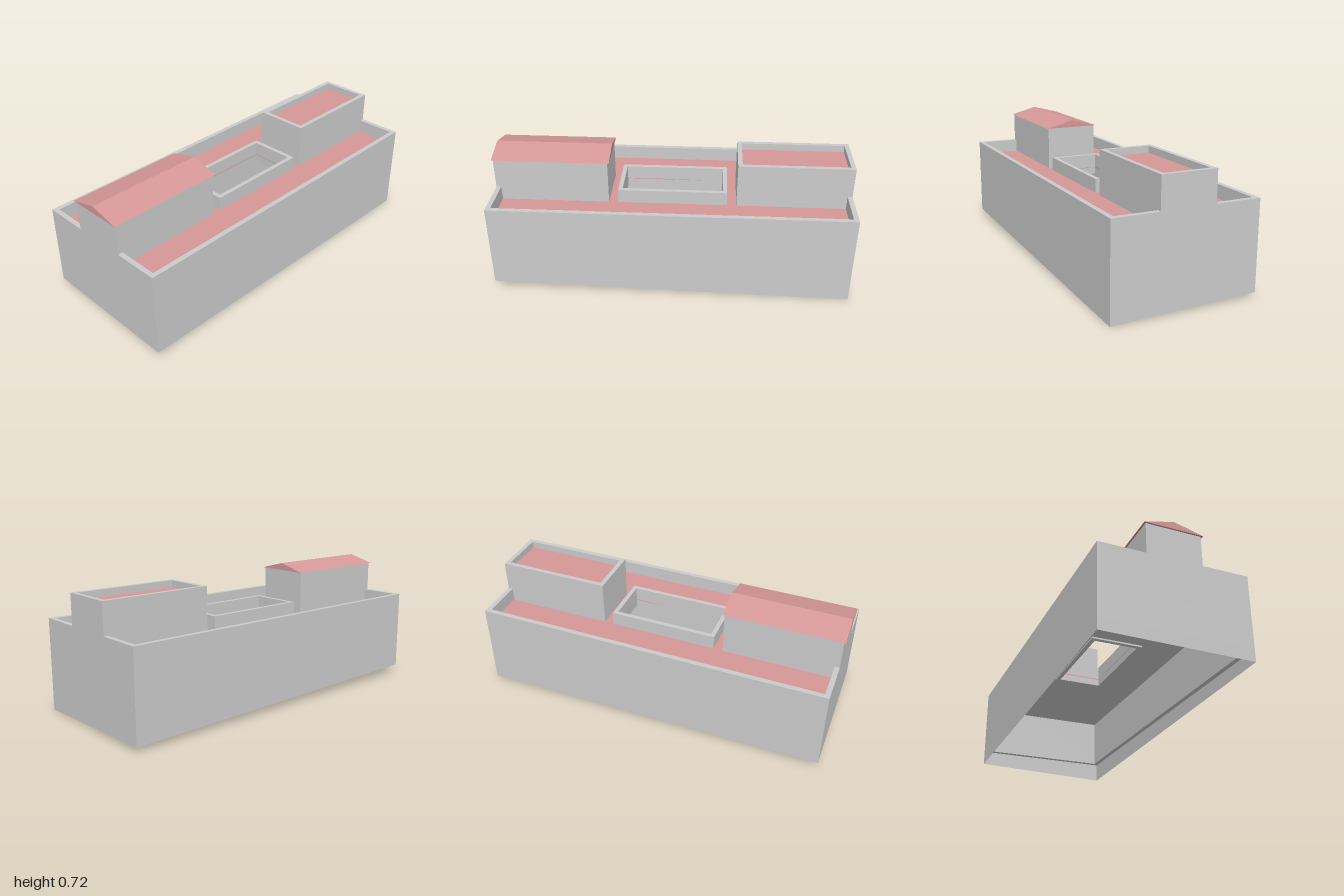
import * as THREE from 'three';

const GREY = new THREE.MeshStandardMaterial({ color: 0xcccccc, flatShading: true });
const THIN = new THREE.MeshStandardMaterial({ color: 0xcccccc, flatShading: true, side: THREE.DoubleSide });
const RED = new THREE.MeshStandardMaterial({ color: 0xd69898, flatShading: true });

// Plan half-sizes and main levels
const HX = 0.99, HZ = 0.403, WALL = 0.027;
const BASE = 0.11, CEILING = 0.4, DECK = 0.435, TOP = 0.512, TOWER_TOP = 0.683;
const TOWER = { x0: 0.357, x1: HX, hz: 0.151 };
const COURT = { hx: 0.304, hz: 0.15 };

function rectPath(PathType, x0, x1, hz) {
  const path = new PathType();
  path.moveTo(x0, -hz);
  path.lineTo(x1, -hz);
  path.lineTo(x1, hz);
  path.lineTo(x0, hz);
  path.closePath();
  return path;
}

// Rectangle in plan, optionally with a rectangular hole, raised from y0 to y1
function slab(name, outer, hole, y0, y1, material) {
  const shape = rectPath(THREE.Shape, ...outer);
  if (hole) shape.holes.push(rectPath(THREE.Path, ...hole));
  const geometry = new THREE.ExtrudeGeometry(shape, { depth: y1 - y0, bevelEnabled: false });
  geometry.rotateX(-Math.PI / 2).translate(0, y0, 0);
  const mesh = new THREE.Mesh(geometry, material);
  mesh.name = name;
  return mesh;
}

// Rectangular ring of walls of constant thickness
function ring(name, x0, x1, hz, t, y0, y1) {
  return slab(name, [x0, x1, hz], [x0 + t, x1 - t, hz - t], y0, y1, GREY);
}

// Thin skirt from the wall base down to the sloping ground
function skirt() {
  const corners = [[-HX, HZ, 0.042], [HX, HZ, 0], [HX, -HZ, 0.026], [-HX, -HZ, 0.052]];
  const points = [], index = [];
  corners.forEach(([x, z, y], i) => {
    points.push(x, y, z, x, BASE, z);
    const a = i * 2, b = ((i + 1) % 4) * 2;
    index.push(a, b, b + 1, a, b + 1, a + 1);
  });
  const geometry = new THREE.BufferGeometry();
  geometry.setAttribute('position', new THREE.Float32BufferAttribute(points, 3));
  geometry.setIndex(index);
  geometry.computeVertexNormals();
  const mesh = new THREE.Mesh(geometry, THIN);
  mesh.name = 'foundationSkirt';
  return mesh;
}

// Gabled roof prism along x
function gableRoof(x0, x1, hz, eave, ridge) {
  const shape = new THREE.Shape();
  shape.moveTo(-hz, eave);
  shape.lineTo(hz, eave);
  shape.lineTo(0, ridge);
  shape.closePath();
  const geometry = new THREE.ExtrudeGeometry(shape, { depth: x1 - x0, bevelEnabled: false });
  geometry.rotateY(Math.PI / 2).translate(x0, 0, 0);
  const mesh = new THREE.Mesh(geometry, RED);
  mesh.name = 'gableRoof';
  return mesh;
}

export function createModel() {
  const model = new THREE.Group();
  model.name = 'building';
  const plan = new THREE.Group();
  plan.name = 'buildingParts';
  plan.rotation.y = -0.0115; // the plan sits slightly askew
  model.add(plan);

  // Main block: walls, skirt, ceiling and roof deck round the courtyard
  const inner = [-HX + WALL, HX - WALL, HZ - WALL];
  const opening = [-COURT.hx + 0.024, COURT.hx - 0.024, COURT.hz - 0.024];
  plan.add(
    ring('mainWalls', -HX, HX, HZ, WALL, BASE, TOP),
    skirt(),
    slab('ceiling', inner, opening, CEILING, DECK - 0.005, GREY),
    slab('roofDeck', inner, opening, DECK - 0.005, DECK, RED),
    ring('courtyardCurb', -COURT.hx, COURT.hx, COURT.hz, 0.024, CEILING - 0.01, TOP)
  );

  // Flat-roofed upper block on the left
  const { x0, x1, hz } = TOWER;
  plan.add(
    ring('flatBlockWalls', x0, x1, hz, 0.025, DECK - 0.005, TOWER_TOP),
    slab('flatBlockDeck', [x0 + 0.025, x1 - 0.025, hz - 0.025], null, 0.635, 0.645, RED)
  );

  // Gabled upper block on the right
  plan.add(
    slab('gabledBlockWalls', [-x1, -x0, hz], null, DECK - 0.005, TOWER_TOP - 0.001, GREY),
    gableRoof(-0.999, -0.347, 0.161, TOWER_TOP - 0.001, 0.724)
  );
  return model;
}
